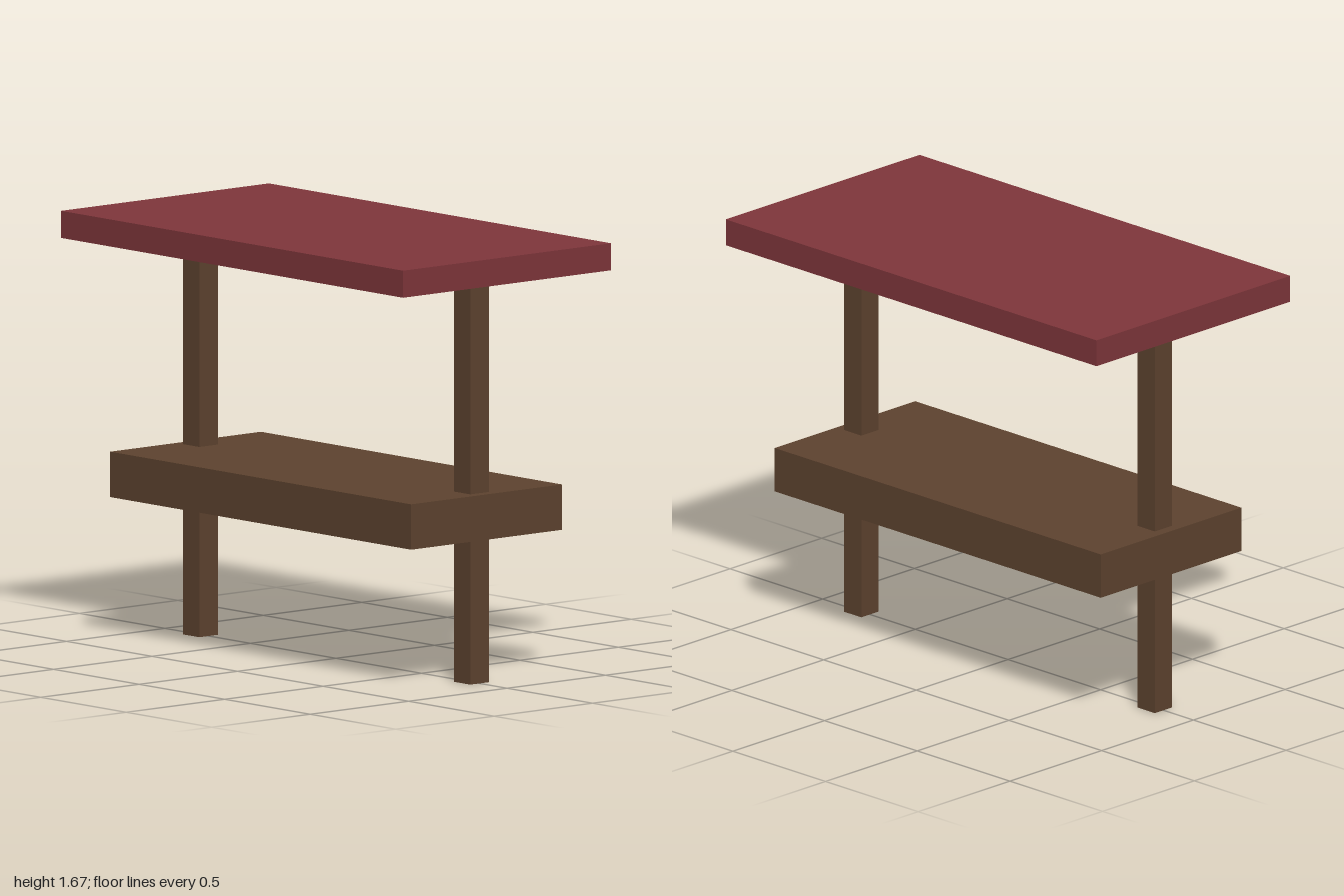
import * as THREE from 'three';

export function createModel() {
  const group = new THREE.Group();
  const wood = new THREE.MeshStandardMaterial({ color: 0x5e432f });
  const red = new THREE.MeshStandardMaterial({ color: 0x7f363b });

  // Box centred on z = 0, placed by its bottom and top heights
  function addBox(name, material, width, depth, bottom, top, x = 0) {
    const mesh = new THREE.Mesh(new THREE.BoxGeometry(width, top - bottom, depth), material);
    mesh.position.set(x, (bottom + top) / 2, 0);
    mesh.name = name;
    group.add(mesh);
  }

  // Flat roof and thick counter
  addBox('roof', red, 2, 1.056, 1.568, 1.673);
  addBox('counter', wood, 1.76, 0.766, 0.562, 0.738);

  // Posts running from the ground through the counter to the roof
  for (const side of [-1, 1]) {
    addBox(side > 0 ? 'leftPost' : 'rightPost', wood, 0.094, 0.094, 0, 1.568, side * 0.792);
  }

  return group;
}
